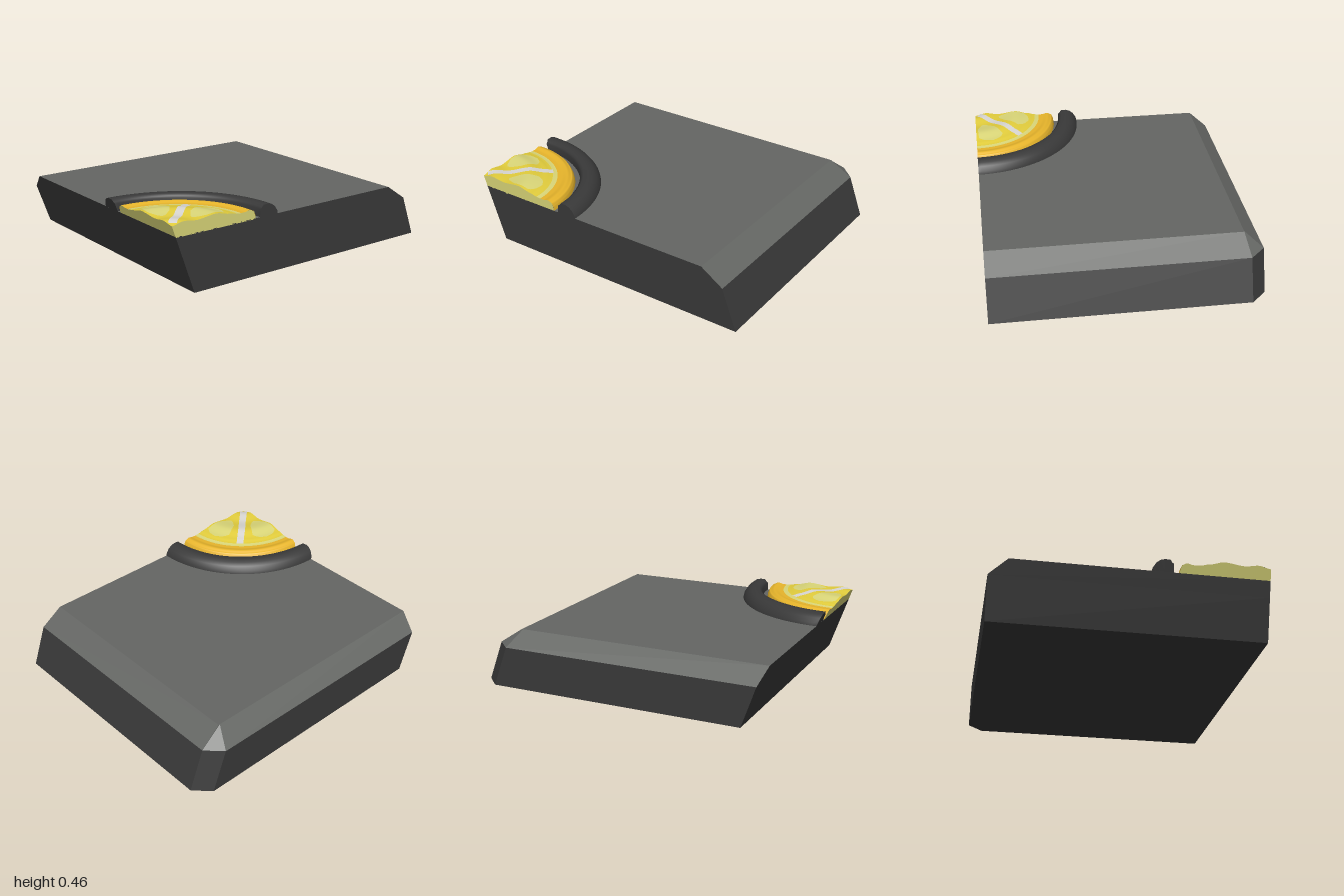
import * as THREE from 'three';

const mat = (name, color, side = THREE.DoubleSide) => {
  const m = new THREE.MeshStandardMaterial({ color, side });
  m.name = name;
  return m;
};

// Height lookup through [radius, height] points, eased between them
function heightAt(table, r) {
  for (let i = 1; i < table.length; i++) {
    const [r0, y0] = table[i - 1], [r1, y1] = table[i];
    if (r <= r1) return y0 + (y1 - y0) * THREE.MathUtils.smoothstep(r, r0, r1);
  }
  return table[table.length - 1][1];
}

// Grid surface from a rule f(u, v) -> [x, y, z]
function surface(name, material, nu, nv, f) {
  const pos = [], idx = [];
  for (let i = 0; i <= nu; i++) for (let j = 0; j <= nv; j++) pos.push(...f(i / nu, j / nv));
  for (let i = 0; i < nu; i++) for (let j = 0; j < nv; j++) {
    const a = i * (nv + 1) + j, b = a + nv + 1;
    idx.push(a, a + 1, b, b, a + 1, b + 1);
  }
  const g = new THREE.BufferGeometry();
  g.setAttribute('position', new THREE.Float32BufferAttribute(pos, 3));
  g.setIndex(idx);
  g.computeVertexNormals();
  const mesh = new THREE.Mesh(g, material);
  mesh.name = name;
  return mesh;
}

// Flat-shaded mesh from convex polygons
function polygons(name, material, faces) {
  const pos = [];
  for (const f of faces)
    for (let i = 1; i < f.length - 1; i++) pos.push(...f[0], ...f[i], ...f[i + 1]);
  const g = new THREE.BufferGeometry();
  g.setAttribute('position', new THREE.Float32BufferAttribute(pos, 3));
  g.computeVertexNormals();
  const mesh = new THREE.Mesh(g, material);
  mesh.name = name;
  return mesh;
}

const TOP = 0.37, LEAN = 0.352, Q = Math.PI / 2;

// Polar point about the front corner; the cut edge follows the leaning front plane
function polar(r, t, y) {
  const s = r * Math.sin(t);
  const w = Math.max(0, 1 - s / 0.55);
  return [0.88 - r * Math.cos(t), y, 0.97 - s + LEAN * (y - TOP) * w];
}

export function createModel() {
  const group = new THREE.Group();
  const stone = mat('slab grey', 0x646663);
  const dark = mat('charcoal', 0x393939);
  const gold = mat('rind gold', 0xebb82c);
  const yellow = mat('pulp yellow', 0xe2cd3c);
  const pale = mat('pale yellow', 0xdad678);
  const white = mat('pith white', 0xd8d6d2);

  // Leaning slab: three outline loops, bevelled at the back and the right side
  const front = y => 0.84 + LEAN * y;
  const loops = [
    [0, -0.78, -1, -0.88, -0.9], [0.27, -0.78, -0.9, -0.88, -0.8], [TOP, -0.76, -0.75, -0.76, -0.74],
  ].map(([y, x2, z2, x3, z3]) => [
    [0.88, y, front(y)], [0.88, y, z2], [x2, y, z2], [x3, y, z3], [x3, y, front(y)],
  ]);
  const walls = [], bevels = [];
  for (let k = 0; k < 2; k++) for (let i = 0; i < 5; i++) {
    const n = (i + 1) % 5, a = loops[k], b = loops[k + 1];
    const isBevel = k === 1 && i > 0 && i < 4;
    (isBevel ? bevels : walls).push([a[i], a[n], b[n], b[i]]);
  }
  group.add(polygons('slabWalls', dark, [...walls, [...loops[0]].reverse()]));
  group.add(polygons('slabTop', stone, [...bevels, loops[2]]));

  // Raised rounded rim
  const rim = [[0.76, 0.365], [0.755, 0.39], [0.735, 0.42], [0.71, 0.438], [0.68, 0.446],
    [0.645, 0.444], [0.635, 0.43], [0.622, 0.42], [0.62, 0.365]];
  const at = u => rim[Math.round(u * (rim.length - 1))];
  group.add(surface('rim', dark, rim.length - 1, 48, (u, v) => polar(at(u)[0], v * Q, at(u)[1])));
  for (const t of [0, Q])
    group.add(surface('rimEnd', dark, rim.length - 1, 1, (u, v) =>
      polar(at(u)[0], t, v ? at(u)[1] : 0.365)));

  // Citrus slice: concentric bands sharing one height profile
  const profile = [[0, 0.44], [0.08, 0.455], [0.17, 0.444], [0.3, 0.457], [0.4, 0.437], [0.44, 0.428],
    [0.47, 0.424], [0.5, 0.424], [0.54, 0.432], [0.57, 0.42], [0.583, 0.395], [0.586, 0.37]];
  const H = r => heightAt(profile, r);
  const band = (name, m, r0, r1, n) => group.add(surface(name, m, n, 48, (u, v) => {
    const r = r0 + (r1 - r0) * u;
    return polar(r, v * Q, H(r));
  }));
  band('pulp', yellow, 0.001, 0.445, 36);
  band('pithRing', pale, 0.445, 0.475, 4);
  band('rind', gold, 0.475, 0.586, 30);

  // Cut faces of the slice
  for (const t of [0, Q])
    group.add(surface('sliceCut', pale, 48, 1, (u, v) => {
      const r = 0.586 * u;
      return polar(r, t, v ? H(r) : 0.365);
    }));

  // Light patches on the two segments, narrowing to the centre
  for (const mid of [0.3, Q - 0.3])
    group.add(surface('segmentHighlight', pale, 20, 10, (u, v) => {
      const r = 0.18 + 0.23 * u;
      const half = 0.25 * Math.min(1, Math.sqrt(u * 3), Math.sqrt((1 - u) * 5));
      return polar(r, mid + (v * 2 - 1) * half, H(r) + 0.004);
    }));

  // White membrane between the segments
  group.add(surface('membrane', white, 24, 2, (u, v) => {
    const d = 0.03 + 0.42 * u, side = (v - 0.5) * 0.05;
    const r = Math.hypot(d, side);
    return polar(r, Q / 2 + Math.atan2(side, d), H(r) + 0.005);
  }));

  return group;
}
